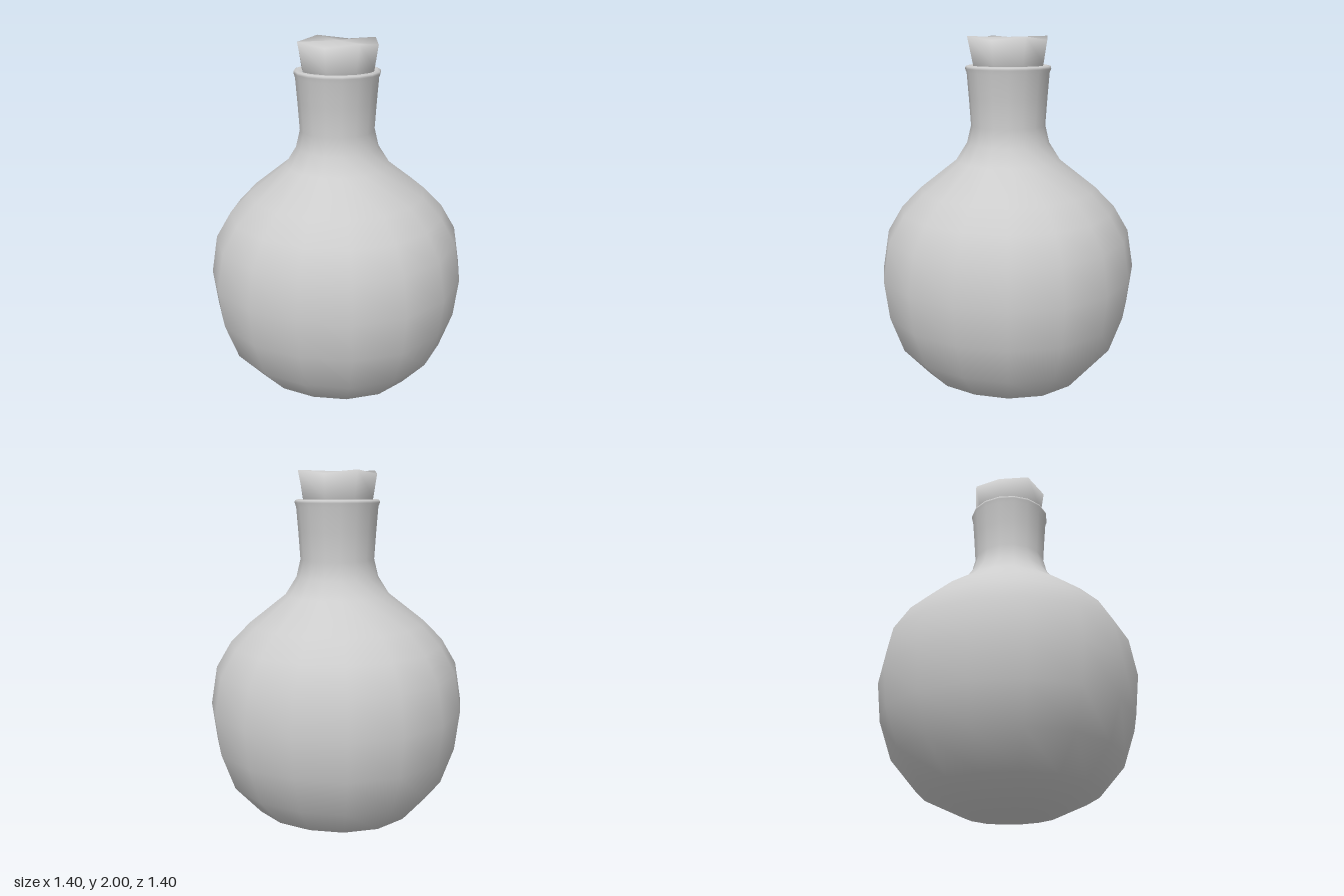
import * as THREE from 'three';
import { mergeVertices } from 'three/addons/utils/BufferGeometryUtils.js';

// Turned shape whose vertices are adjusted by a rule, with smooth shared normals
function turned(profile, sides, adjust) {
  const points = profile.map(([r, y]) => new THREE.Vector2(r, y));
  let geometry = new THREE.LatheGeometry(points, sides);
  geometry.deleteAttribute('normal');
  geometry.deleteAttribute('uv');
  const p = geometry.attributes.position;
  const v = new THREE.Vector3();
  for (let i = 0; i < p.count; i++) {
    v.fromBufferAttribute(p, i);
    // 0 on the x and z axes, 1 on the diagonals
    const diagonal = Math.sin(2 * Math.atan2(v.z, v.x)) ** 2;
    adjust(v, diagonal);
    p.setXYZ(i, v.x, v.y, v.z);
  }
  geometry = mergeVertices(geometry, 1e-4);
  geometry.computeVertexNormals();
  return geometry;
}

export function createModel() {
  const group = new THREE.Group();
  const grey = new THREE.MeshStandardMaterial({ color: 0xcccccc });
  grey.name = 'plain grey';

  // Round flask body, neck and rolled lip; the body is slightly squarish
  const flaskProfile = [
    [0, 0], [0.25, 0.04], [0.465, 0.14], [0.605, 0.305], [0.675, 0.51],
    [0.7, 0.725], [0.665, 0.935], [0.585, 1.075], [0.48, 1.185],
    [0.285, 1.34], [0.225, 1.435], [0.202, 1.53], [0.212, 1.68],
    [0.222, 1.81], [0.23, 1.832], [0.228, 1.845], [0.212, 1.85], [0.185, 1.84],
  ];
  const flask = new THREE.Mesh(turned(flaskProfile, 16, (v, diagonal) => {
    const k = 1 + 0.03 * diagonal * THREE.MathUtils.clamp((1.4 - v.y) / 0.4, 0, 1);
    v.x *= k;
    v.z *= k;
  }), grey);
  flask.name = 'flask';

  // Eight-sided tapered stopper, its rim rising a little at the diagonals
  const stopperProfile = [[0, 1.76], [0.18, 1.76], [0.2, 1.86], [0.219, 1.98], [0, 1.995]];
  const stopper = new THREE.Mesh(turned(stopperProfile, 8, (v, diagonal) => {
    if (v.y > 1.9 && Math.hypot(v.x, v.z) > 0.1) {
      v.y += 0.02 * diagonal;
      v.x *= 1 + 0.05 * diagonal;
      v.z *= 1 + 0.05 * diagonal;
    }
  }), grey);
  stopper.name = 'stopper';

  group.add(flask, stopper);
  return group;
}
